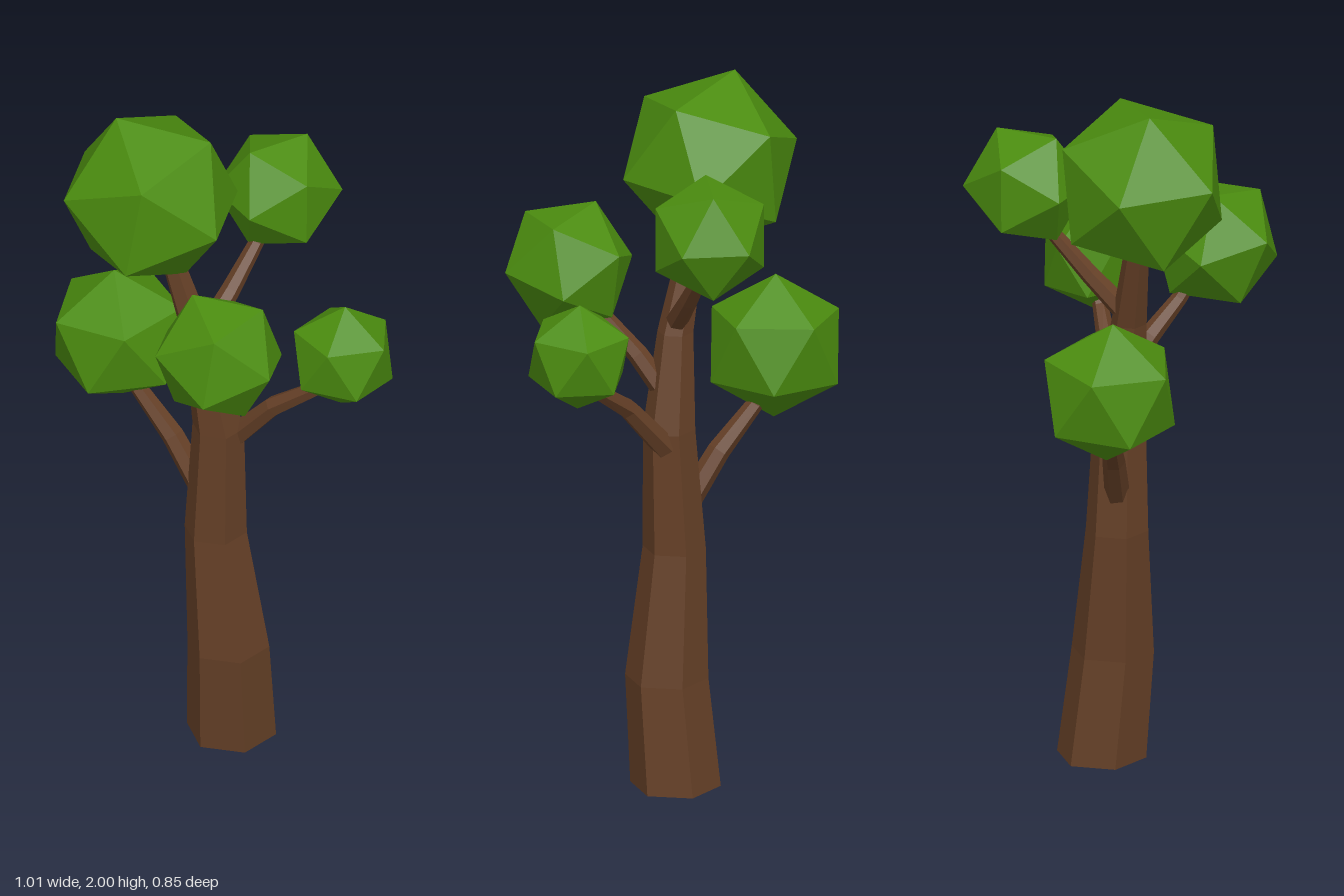
import * as THREE from 'three';

const V = (p) => new THREE.Vector3(...p);

// Six-sided tapering limb lofted through rings [x, y, z, radius]
function limb(rings, level, spin, material, name) {
  const sides = 6, pos = [], idx = [];
  const up = new THREE.Vector3(0, 1, 0);
  rings.forEach((r, k) => {
    const q = new THREE.Quaternion();
    if (!level) {
      const prev = V(rings[Math.max(k - 1, 0)].slice(0, 3));
      const next = V(rings[Math.min(k + 1, rings.length - 1)].slice(0, 3));
      q.setFromUnitVectors(up, next.sub(prev).normalize());
    }
    for (let i = 0; i < sides; i++) {
      const t = spin + (i / sides) * Math.PI * 2;
      const p = new THREE.Vector3(Math.cos(t) * r[3], 0, Math.sin(t) * r[3]).applyQuaternion(q);
      pos.push(p.x + r[0], p.y + r[1], p.z + r[2]);
    }
  });
  for (let k = 0; k < rings.length - 1; k++) {
    for (let i = 0; i < sides; i++) {
      const a = k * sides + i, b = k * sides + (i + 1) % sides;
      idx.push(a, a + sides, b, b, a + sides, b + sides);
    }
  }
  // End caps
  const top = (rings.length - 1) * sides;
  for (let i = 1; i < sides - 1; i++) {
    idx.push(0, i, i + 1, top, top + i + 1, top + i);
  }
  const indexed = new THREE.BufferGeometry();
  indexed.setAttribute('position', new THREE.Float32BufferAttribute(pos, 3));
  indexed.setIndex(idx);
  const geo = indexed.toNonIndexed();
  geo.computeVertexNormals();
  const mesh = new THREE.Mesh(geo, material);
  mesh.name = name;
  return mesh;
}

// Icosahedron turned so that one of its edges joins directions a and b
function foliage(center, radius, a, b, material, name) {
  const va = V(a).normalize(), vb = V(b).normalize();
  const x = vb.clone().sub(va).normalize();
  const y = va.clone().add(vb).normalize();
  const z = x.clone().cross(y);
  const mesh = new THREE.Mesh(new THREE.IcosahedronGeometry(radius, 0), material);
  mesh.quaternion.setFromRotationMatrix(new THREE.Matrix4().makeBasis(x, y, z));
  mesh.position.set(...center);
  mesh.name = name;
  return mesh;
}

export function createModel() {
  const bark = new THREE.MeshStandardMaterial({ color: 0x643f26, flatShading: true });
  bark.name = 'bark brown';
  const leaf = new THREE.MeshStandardMaterial({ color: 0x4b8c0f, flatShading: true });
  leaf.name = 'leaf green';

  const tree = new THREE.Group();
  tree.name = 'tree';

  // Trunk, bending up into the largest crown
  tree.add(limb([
    [0.024, 0, -0.04, 0.126],
    [0.035, 0.31, -0.01, 0.116],
    [0.003, 0.68, 0.005, 0.088],
    [0.016, 1.03, 0.011, 0.073],
    [-0.02, 1.3, 0.04, 0.05],
    [-0.088, 1.54, 0.068, 0.035],
    [-0.13, 1.7, 0.085, 0.025],
  ], true, 37 * Math.PI / 180, bark, 'trunk'));

  // Branches
  const branches = {
    rightBranch: [[-0.02, 0.77, 0.01, 0.036], [-0.14, 0.935, 0.01, 0.032],
      [-0.255, 1.05, 0.013, 0.024], [-0.31, 1.16, 0.015, 0.018]],
    leftBranch: [[0.045, 0.99, -0.02, 0.036], [0.17, 1.13, -0.035, 0.029],
      [0.295, 1.22, -0.07, 0.022], [0.35, 1.31, -0.095, 0.017]],
    frontBranch: [[0.025, 1.14, 0.03, 0.032], [0.07, 1.23, 0.09, 0.029],
      [0.125, 1.32, 0.165, 0.022], [0.18, 1.43, 0.235, 0.017]],
    backBranch: [[-0.015, 1.34, 0.02, 0.032], [0, 1.43, -0.07, 0.027],
      [0.015, 1.54, -0.17, 0.021], [0.03, 1.64, -0.235, 0.017]],
  };
  for (const [name, rings] of Object.entries(branches)) {
    tree.add(limb(rings, false, 0.5, bark, name));
  }

  // Leaf clumps
  tree.add(
    foliage([-0.157, 1.765, 0.09], 0.257, [-0.095, 0.235, 0.03], [0.15, 0.195, -0.075], leaf, 'topFoliage'),
    foliage([0.032, 1.68, -0.248], 0.177, [0.036, 0.15, -0.087], [-0.036, 0.155, 0.087], leaf, 'backFoliage'),
    foliage([0.196, 1.465, 0.257], 0.19, [-0.09, 0.17, 0.004], [0.091, 0.138, -0.077], leaf, 'frontFoliage'),
    foliage([0.362, 1.34, -0.099], 0.155, [0.003, 0.155, -0.008], [0.136, 0.07, 0], leaf, 'leftFoliage'),
    foliage([-0.32, 1.211, 0.016], 0.206, [-0.09, 0.075, 0.165], [0.022, -0.095, 0.18], leaf, 'rightFoliage'),
  );
  return tree;
}
